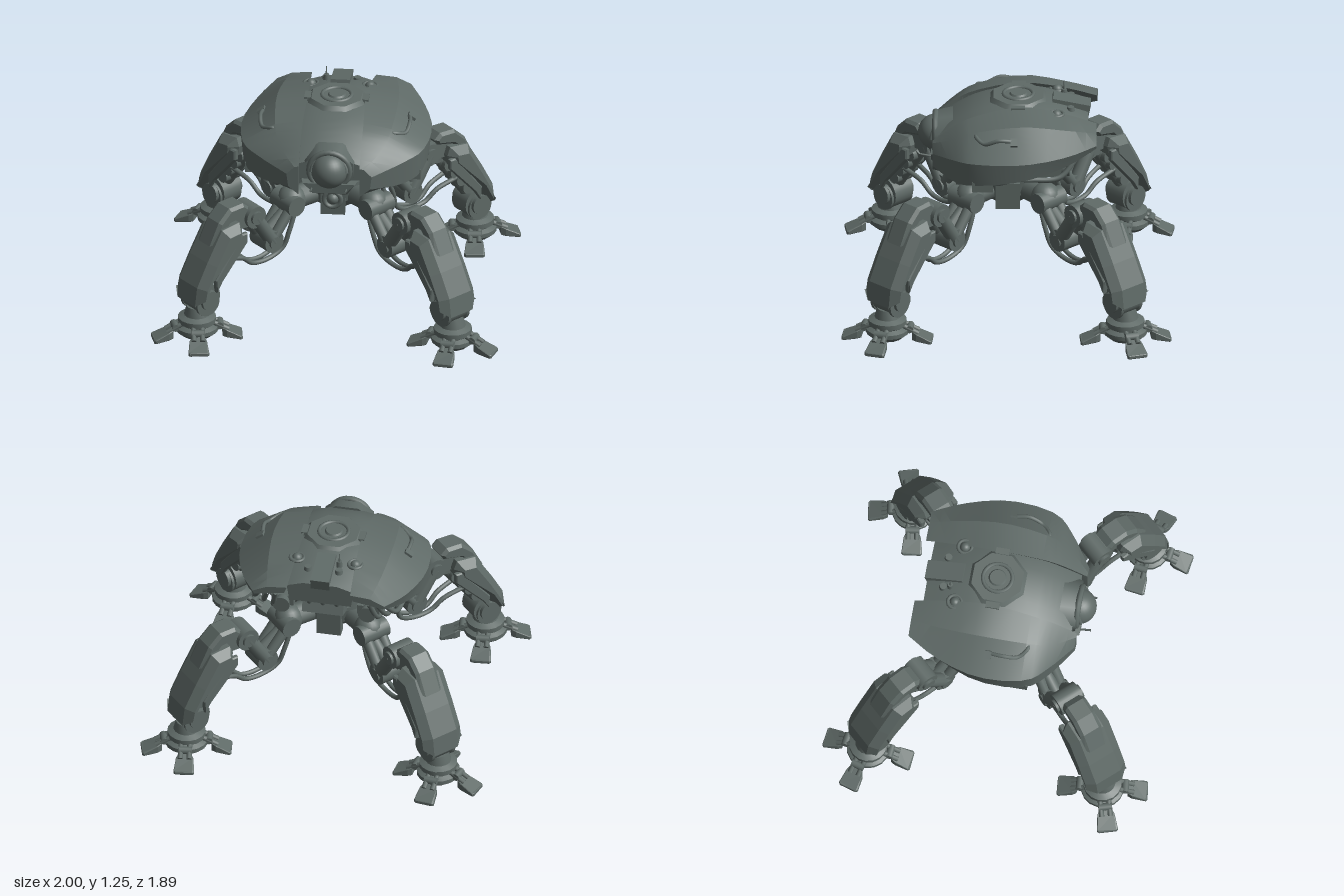
import * as THREE from 'three';
import { toCreasedNormals } from 'three/addons/utils/BufferGeometryUtils.js';

const armour = new THREE.MeshStandardMaterial({ color: 0x5f6a67 });
armour.name = 'grey green armour';

const V = (x, y, z) => new THREE.Vector3(x, y, z);
const cyl = (r1, r2, h, n = 20) => new THREE.CylinderGeometry(r1, r2, h, n);
const box = (x, y, z) => new THREE.BoxGeometry(x, y, z);

function add(parent, name, geo, pos = [0, 0, 0], rot = [0, 0, 0]) {
  const m = new THREE.Mesh(geo, armour);
  m.name = name;
  m.position.set(...pos);
  m.rotation.set(...rot);
  parent.add(m);
  return m;
}

// Cylinder between two points
function rod(parent, name, a, b, r, n = 12) {
  const p = V(...a), q = V(...b), d = q.clone().sub(p);
  const m = add(parent, name, cyl(r, r, d.length(), n), p.clone().add(q).multiplyScalar(0.5).toArray());
  m.quaternion.setFromUnitVectors(V(0, 1, 0), d.normalize());
  return m;
}

function hose(parent, name, pts, r) {
  const curve = new THREE.CatmullRomCurve3(pts.map(p => V(...p)));
  return add(parent, name, new THREE.TubeGeometry(curve, 28, r, 8));
}

// Side profile with chamfered flanks, centred on z = 0
function plate(pts, width, bevel) {
  const shape = new THREE.Shape(pts.map(p => new THREE.Vector2(...p)));
  const depth = width - 2 * bevel;
  return new THREE.ExtrudeGeometry(shape, {
    depth, bevelThickness: bevel, bevelSize: bevel * 0.8, bevelOffset: -bevel * 0.8, bevelSegments: 1,
  }).translate(0, 0, -depth / 2);
}

// Closed loft through rings listed from front to back, smoothed along z
function loft(rings, side = 1, steps = 14) {
  const n = rings[0].length, pos = [], idx = [];
  const rails = rings[0].map((_, j) => new THREE.CatmullRomCurve3(rings.map(r => V(r[j][0] * side, r[j][1], r[j][2]))));
  for (let i = 0; i <= steps; i++) rails.forEach(c => pos.push(...c.getPoint(i / steps).toArray()));
  const tri = (a, b, c) => idx.push(...(side > 0 ? [a, b, c] : [a, c, b]));
  for (let i = 0; i < steps; i++) for (let j = 0; j < n; j++) {
    const a = i * n + j, b = i * n + (j + 1) % n;
    tri(a, b, b + n);
    tri(a, b + n, a + n);
  }
  for (let j = 1; j < n - 1; j++) {
    tri(0, j + 1, j);
    tri(steps * n, steps * n + j, steps * n + j + 1);
  }
  const g = new THREE.BufferGeometry();
  g.setAttribute('position', new THREE.Float32BufferAttribute(pos, 3));
  g.setIndex(idx);
  return toCreasedNormals(g, 0.35);
}

function buildHull(root) {
  const hull = new THREE.Group();
  hull.name = 'hull';
  root.add(hull);

  // z, then x and y from the inner top edge round to the inner bottom edge
  const stations = [
    [0.43, [0.175, 0.99], [0.20, 0.985], [0.245, 0.94], [0.235, 0.86], [0.175, 0.81]],
    [0.30, [0.175, 1.09], [0.30, 1.06], [0.42, 0.98], [0.41, 0.84], [0.20, 0.79]],
    [0.20, [0.175, 1.14], [0.33, 1.11], [0.51, 1.0], [0.50, 0.86], [0.25, 0.81]],
    [-0.08, [0.165, 1.2], [0.35, 1.16], [0.545, 1.01], [0.53, 0.90], [0.28, 0.89]],
    [-0.34, [0.175, 1.16], [0.33, 1.13], [0.475, 1.03], [0.45, 0.96], [0.28, 0.99]],
    [-0.51, [0.185, 1.11], [0.30, 1.10], [0.385, 1.06], [0.375, 1.04], [0.20, 1.07]],
  ];
  const wing = stations.map(([z, ...ps]) => ps.map(([x, y]) => [x, y, z]));

  // Central spine: z, top height, bottom height
  const spine = [[0.40, 1.02, 0.90], [0.30, 1.09, 0.86], [0.16, 1.16, 0.84], [-0.08, 1.205, 0.84], [-0.30, 1.17, 0.88], [-0.46, 1.12, 0.99]]
    .map(([z, t, b]) => [[-0.195, t - 0.03, z], [-0.1, t, z], [0.1, t, z], [0.195, t - 0.03, z], [0.18, b, z], [-0.18, b, z]]);
  add(hull, 'spine', loft(spine));

  for (const s of [-1, 1]) {
    const name = s > 0 ? 'left' : 'right';
    add(hull, name + 'Wing', loft(wing, s));
    hose(hull, name + 'Handle', [[0.31 * s, 1.09, 0.17], [0.35 * s, 1.10, 0.18], [0.41 * s, 1.08, 0.13], [0.43 * s, 1.11, 0.05], [0.42 * s, 1.10, -0.05]], 0.012);
    add(hull, name + 'HandleMount', box(0.05, 0.03, 0.04), [0.43 * s, 1.095, -0.04], [0, 0, -0.6 * s]);
    // Pipes below the wing
    for (let k = 0; k < 3; k++) {
      const x = (0.46 - k * 0.06) * s, d = k * 0.028;
      hose(hull, name + 'Pipe', [[x, 0.87, 0.18], [x, 0.855 - d, 0.08], [x, 0.88 - d, -0.05], [x * 0.95, 0.87 - d, -0.14], [x * 0.9, 0.875 - d, -0.30], [x * 0.8, 0.98, -0.40]], 0.015);
    }
    add(hull, name + 'Thruster', box(0.13, 0.06, 0.22), [0.25 * s, 0.86, -0.20]);
    add(hull, name + 'ThrusterNozzle', cyl(0.04, 0.05, 0.05), [0.25 * s, 0.86, -0.33], [Math.PI / 2, 0, 0]);
    add(hull, name + 'LowerBlock', box(0.08, 0.06, 0.12), [0.465 * s, 0.85, 0.14]);
    add(hull, name + 'RearDome', new THREE.SphereGeometry(0.03, 16, 12), [0.17 * s, 1.155, -0.28]);
    add(hull, name + 'RearDomeRing', new THREE.TorusGeometry(0.04, 0.01, 8, 20), [0.17 * s, 1.16, -0.28], [Math.PI / 2, 0, 0]);
    add(hull, name + 'SmallCap', cyl(0.02, 0.025, 0.03), [0.09 * s, 1.155, -0.36]);
    rod(hull, name + 'Whisker', [0.1 * s, 0.85, 0.40], [0.1 * s, 0.87, 0.50], 0.006, 6);
  }

  // Top hatch and rear fittings
  add(hull, 'hatchPlate', cyl(0.155, 0.175, 0.025, 8), [0, 1.196, -0.06], [0, Math.PI / 8, 0]);
  add(hull, 'hatchRing', new THREE.TorusGeometry(0.085, 0.012, 8, 28), [0, 1.207, -0.06], [Math.PI / 2, 0, 0]);
  add(hull, 'hatchLid', cyl(0.045, 0.06, 0.02), [0, 1.208, -0.06]);
  for (const s of [-1, 1]) add(hull, 'hatchHinge', box(0.04, 0.03, 0.08), [0.165 * s, 1.188, -0.06]);
  add(hull, 'rearVent', box(0.11, 0.07, 0.22), [0, 1.145, -0.36], [-0.2, 0, 0]);
  add(hull, 'antennaBase', cyl(0.015, 0.02, 0.05, 8), [-0.085, 1.175, -0.32]);
  add(hull, 'antenna', cyl(0.002, 0.008, 0.08, 6), [-0.085, 1.212, -0.32]);
  add(hull, 'rearModule', box(0.24, 0.18, 0.12), [0, 0.93, -0.31], [0.35, 0, 0]);
  for (const x of [-0.08, 0, 0.08]) rod(hull, 'rearRib', [x, 0.86, -0.34], [x, 1.03, -0.41], 0.018, 8);
  add(hull, 'belly', cyl(0.34, 0.25, 0.11, 16), [0, 0.855, 0]);

  // Front eye with its wide collar and chin guard
  add(hull, 'eyeHousing', cyl(0.12, 0.14, 0.10, 8).rotateY(Math.PI / 8).scale(1.25, 1, 1), [0, 0.965, 0.365], [Math.PI / 2, 0, 0]);
  add(hull, 'eyeCollar', new THREE.TorusGeometry(0.115, 0.018, 8, 28), [0, 0.965, 0.415]);
  add(hull, 'eyeBall', new THREE.SphereGeometry(0.105, 28, 20), [0, 0.965, 0.41]);
  add(hull, 'eyeBrow', new THREE.TorusGeometry(0.1, 0.012, 8, 20, Math.PI), [0, 0.965, 0.44], [-0.3, 0, 0]);
  const chin = [[0.44, 0.15, 0.89, 0.83], [0.36, 0.17, 0.9, 0.79], [0.24, 0.18, 0.9, 0.79]]
    .map(([z, w, t, b]) => [[-w, t, z], [w, t, z], [w * 0.6, b, z], [-w * 0.6, b, z]]);
  add(hull, 'chinGuard', loft(chin, 1, 6));
}

function buildPelvis(root) {
  const g = new THREE.Group();
  g.name = 'pelvis';
  root.add(g);
  add(g, 'turntable', cyl(0.23, 0.23, 0.022, 28), [0, 0.765, 0]);
  add(g, 'turntableNeck', cyl(0.19, 0.19, 0.05, 24), [0, 0.79, 0]);
  add(g, 'core', cyl(0.21, 0.19, 0.11, 8), [0, 0.70, 0], [0, Math.PI / 8, 0]);
  add(g, 'lowerCore', cyl(0.19, 0.11, 0.08, 8), [0, 0.605, 0], [0, Math.PI / 8, 0]);
  for (let k = 0; k < 4; k++) {
    const a = k * Math.PI / 2, sx = Math.sin(a), cz = Math.cos(a);
    add(g, 'coreBlock', box(0.14, 0.16, 0.06), [0.18 * sx, 0.655, 0.18 * cz], [0, a, 0]);
  }
  add(g, 'frontLensRing', new THREE.TorusGeometry(0.048, 0.014, 8, 24), [0, 0.675, 0.215]);
  add(g, 'frontLens', new THREE.SphereGeometry(0.035, 16, 12), [0, 0.675, 0.205]);
}

// Leg built along local +x; flip mirrors the toe directions
function buildLeg(root, name, angle, flip) {
  const leg = new THREE.Group();
  leg.name = name;
  leg.rotation.y = angle;
  root.add(leg);
  const axle = (n, r, w, x, y, z = 0) => add(leg, n, cyl(r, r, w), [x, y, z], [Math.PI / 2, 0, 0]);

  // Hip, thigh and knee
  rod(leg, 'hipShaft', [0.15, 0.67, 0], [0.29, 0.67, 0], 0.068);
  add(leg, 'hipBall', new THREE.SphereGeometry(0.085, 20, 14), [0.32, 0.668, 0]);
  axle('hipAxle', 0.06, 0.18, 0.35, 0.66);
  axle('elbowAxle', 0.066, 0.15, 0.50, 0.475);
  axle('elbowPin', 0.038, 0.18, 0.50, 0.475);
  axle('kneeAxle', 0.068, 0.15, 0.63, 0.675);
  axle('kneePin', 0.04, 0.18, 0.63, 0.675);
  for (const z of [-0.05, 0.05]) {
    rod(leg, 'thighLink', [0.35, 0.66, z], [0.50, 0.475, z], 0.032);
    rod(leg, 'kneeLink', [0.50, 0.475, z], [0.63, 0.675, z], 0.042);
    hose(leg, 'legHose', [[0.33, 0.62, z], [0.375, 0.50, z], [0.41, 0.40, z * 0.7], [0.50, 0.355, z * 0.5], [0.62, 0.36, z * 0.5], [0.70, 0.42, z * 0.7], [0.83, 0.46, z]], 0.014);
  }
  rod(leg, 'thighPiston', [0.38, 0.60, 0], [0.52, 0.50, 0], 0.035);
  add(leg, 'kneeBlock', box(0.17, 0.11, 0.10), [0.725, 0.675, 0]);

  // Shin armour, narrow knee cap and inner pistons
  add(leg, 'shinArmour', plate([[0.76, 0.69], [0.885, 0.675], [0.99, 0.50], [1.065, 0.36], [1.08, 0.245], [1.03, 0.25], [0.95, 0.37], [0.75, 0.58], [0.74, 0.64]], 0.265, 0.05));
  add(leg, 'kneeCap', plate([[0.67, 0.75], [0.71, 0.785], [0.81, 0.78], [0.885, 0.71], [0.95, 0.58], [0.90, 0.58], [0.80, 0.69], [0.69, 0.715]], 0.14, 0.02));
  for (const z of [-0.11, 0.11]) add(leg, 'shinRail', plate([[0.73, 0.63], [0.77, 0.63], [0.96, 0.39], [0.95, 0.31], [0.91, 0.37], [0.73, 0.57]], 0.035, 0.008), [0, 0, z]);
  rod(leg, 'shinPiston', [0.74, 0.59, 0], [0.93, 0.33, 0], 0.035);
  for (const t of [0.15, 0.4, 0.65, 0.9]) axle('shinCollar', 0.04, 0.12, 0.75 + 0.18 * t, 0.60 - 0.25 * t);

  // Ankle
  axle('ankleDrum', 0.09, 0.13, 0.975, 0.255);
  axle('anklePin', 0.06, 0.20, 0.975, 0.255);
  for (const z of [-0.07, 0.07]) axle('ankleFlange', 0.08, 0.02, 0.98, 0.235, z);

  // Foot hub with four sloping toes
  const foot = new THREE.Group();
  foot.name = 'foot';
  foot.position.x = 1.002;
  leg.add(foot);
  const profile = [[0, 0.02], [0.09, 0.02], [0.125, 0.05], [0.125, 0.075], [0.095, 0.09], [0.11, 0.10], [0.11, 0.13], [0.075, 0.145], [0.06, 0.20], [0, 0.20]];
  add(foot, 'footHub', toCreasedNormals(new THREE.LatheGeometry(profile.map(p => new THREE.Vector2(...p)), 16), 0.5));
  const toeShape = [[0.145, 0.038], [0.17, 0.05], [0.25, 0.06], [0.26, 0.05]];
  const outline = toeShape.concat(toeShape.map(([x, w]) => [x, -w]).reverse());
  for (const deg of [-26, 55, 145, 232]) {
    const toe = new THREE.Group();
    toe.name = 'toe';
    toe.rotation.y = -deg * flip * Math.PI / 180;
    foot.add(toe);
    const pad = plate(outline, 0.022, 0.004).rotateX(-Math.PI / 2);
    const p = pad.attributes.position;
    // Slope the top of the pad down to the ground at the tip
    for (let i = 0; i < p.count; i++) {
      const lift = Math.max(0, (0.25 - p.getX(i)) / 0.11);
      p.setY(i, p.getY(i) + 0.011 + lift * (p.getY(i) > 0 ? 0.05 : 0.015));
    }
    pad.computeVertexNormals();
    add(toe, 'toePad', pad);
    for (const z of [-0.025, 0.025]) rod(toe, 'toeLink', [0.09, 0.10, z], [0.18, 0.055, z], 0.015, 8);
    add(toe, 'toeHinge', cyl(0.022, 0.022, 0.075, 12), [0.13, 0.08, 0], [Math.PI / 2, 0, 0]);
  }
}

export function createModel() {
  const root = new THREE.Group();
  root.name = 'walker';
  buildHull(root);
  buildPelvis(root);
  const a = Math.atan2(0.68, 0.734);
  buildLeg(root, 'frontLeftLeg', -a, 1);
  buildLeg(root, 'frontRightLeg', Math.PI + a, -1);
  buildLeg(root, 'rearLeftLeg', a, -1);
  buildLeg(root, 'rearRightLeg', Math.PI - a, 1);
  return root;
}
